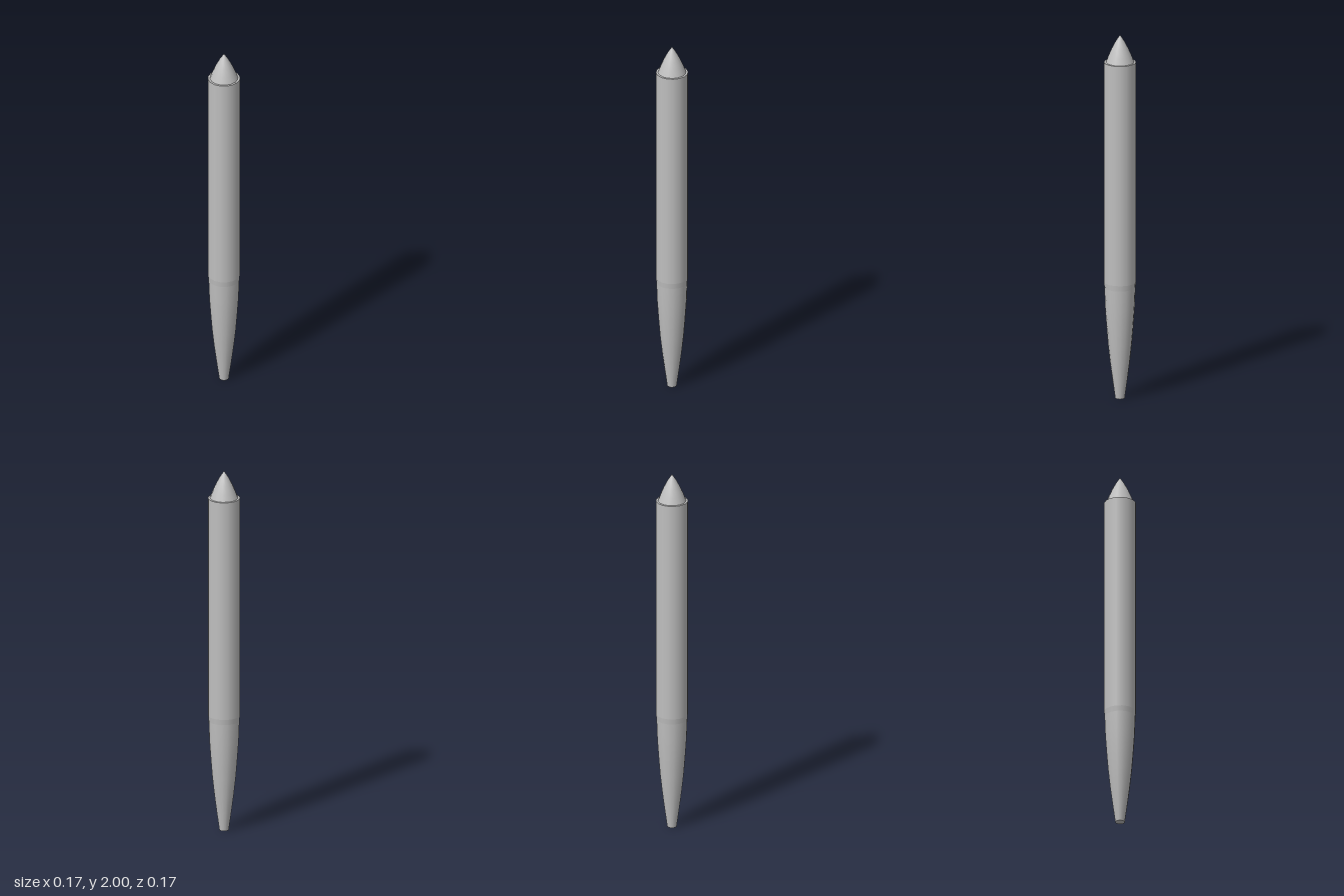
import * as THREE from 'three';

const SIDES = 16;

export function createModel() {
  const model = new THREE.Group();
  const metal = new THREE.MeshStandardMaterial({ color: 0xbfbfbf });
  metal.name = 'plain grey metal';

  // Each part is turned from a [radius, height] profile, bottom to top
  const turn = (name, profile) => {
    const points = profile.map(([r, y]) => new THREE.Vector2(r, y));
    const mesh = new THREE.Mesh(new THREE.LatheGeometry(points, SIDES), metal);
    mesh.name = name;
    model.add(mesh);
  };

  // Flat end of the tail
  turn('tailCap', [[0, 0], [0.025, 0]]);

  // Tail narrows in a gentle curve
  turn('taperedTail', [
    [0.025, 0], [0.039, 0.1], [0.052, 0.2], [0.063, 0.3],
    [0.071, 0.4], [0.078, 0.5], [0.082, 0.61],
  ]);

  // Short shoulder between tail and body
  turn('shoulder', [[0.082, 0.61], [0.085, 0.64]]);

  // Straight body with a flat rim on top
  turn('body', [[0.085, 0.64], [0.085, 1.85]]);
  turn('bodyRim', [[0.085, 1.85], [0.073, 1.85]]);

  // Pointed, slightly bulging nose
  turn('nose', [[0.074, 1.85], [0.061, 1.885], [0.044, 1.925], [0.023, 1.965], [0, 2]]);

  return model;
}
